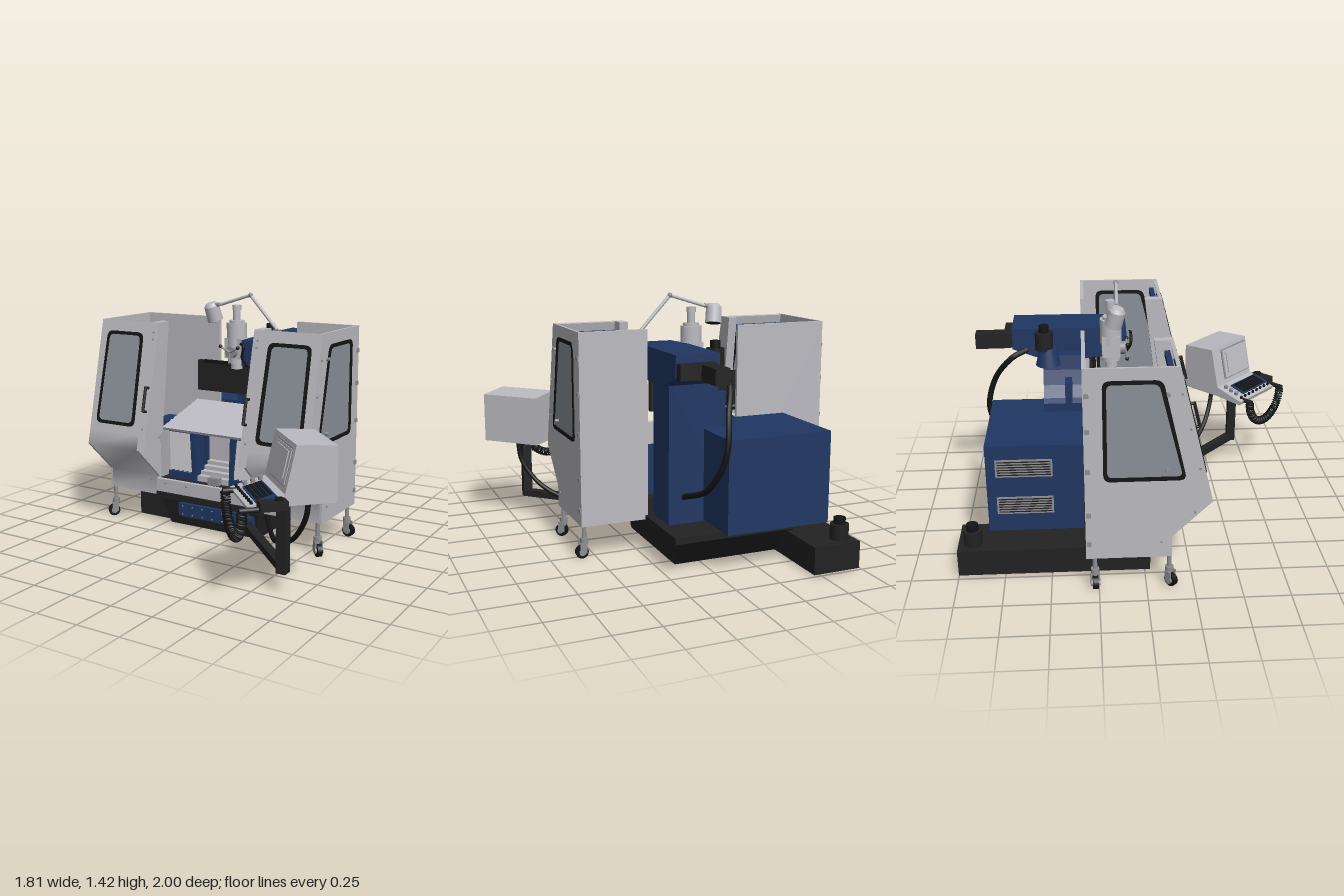
import * as THREE from 'three';
import { toCreasedNormals } from 'three/addons/utils/BufferGeometryUtils.js';

const mat = (name, color) => {
  const m = new THREE.MeshStandardMaterial({ color });
  m.name = name;
  return m;
};
const V = (p) => new THREE.Vector3(...p);

export function createModel() {
  const grey = mat('light grey paint', 0xbabac0), blue = mat('blue paint', 0x203763);
  const black = mat('black', 0x222223), glass = mat('window grey', 0x8a8f98);
  const steel = mat('steel', 0x8f8f93), rubber = mat('dark rubber', 0x141414);
  const root = new THREE.Group();
  root.name = 'millingMachine';
  let target = root;

  // ---- helpers ----
  const add = (name, geo, m, pos = [0, 0, 0], rot = [0, 0, 0]) => {
    const mesh = new THREE.Mesh(geo, m);
    mesh.name = name;
    mesh.position.set(...pos);
    mesh.rotation.set(...rot);
    target.add(mesh);
    return mesh;
  };
  const group = (name, pos, parent, rot = [0, 0, 0]) => {
    target = new THREE.Group();
    target.name = name;
    target.position.set(...pos);
    target.rotation.set(...rot);
    parent.add(target);
    return target;
  };
  const box = (name, m, x0, x1, y0, y1, z0, z1) => add(name,
    new THREE.BoxGeometry(Math.abs(x1 - x0), Math.abs(y1 - y0), Math.abs(z1 - z0)), m,
    [(x0 + x1) / 2, (y0 + y1) / 2, (z0 + z1) / 2]);
  const cyl = (name, m, r0, r1, h, pos, rot, seg = 20) =>
    add(name, new THREE.CylinderGeometry(r0, r1, h, seg), m, pos, rot);
  const tube = (name, m, pts, r, n = 40) => add(name,
    new THREE.TubeGeometry(new THREE.CatmullRomCurve3(pts.map(V)), n, r, 10), m);
  const rod = (name, m, a, b, r) => {
    const d = V(b).sub(V(a));
    const mesh = cyl(name, m, r, r, d.length(), V(a).add(V(b)).multiplyScalar(0.5).toArray(), undefined, 12);
    mesh.quaternion.setFromUnitVectors(new THREE.Vector3(0, 1, 0), d.normalize());
  };
  const poly = (pts) => new THREE.Shape(pts.map((p) => new THREE.Vector2(...p)));
  // polygon with rounded corners
  const rounded = (pts, r) => {
    const s = new THREE.Shape(), v = pts.map((p) => new THREE.Vector2(...p)), n = v.length;
    v.forEach((c, i) => {
      const a = v[(i + n - 1) % n].clone().sub(c).setLength(r).add(c);
      const b = v[(i + 1) % n].clone().sub(c).setLength(r).add(c);
      if (i) s.lineTo(a.x, a.y); else s.moveTo(a.x, a.y);
      s.quadraticCurveTo(c.x, c.y, b.x, b.y);
    });
    s.closePath();
    return s;
  };
  const extrude = (shape, depth) =>
    new THREE.ExtrudeGeometry(shape, { depth, bevelEnabled: false, curveSegments: 6 });
  // (z, y) profile extruded between two x values
  const profile = (name, m, shape, x0, x1) => add(name,
    extrude(shape, Math.abs(x1 - x0)).rotateY(-Math.PI / 2), m, [Math.max(x0, x1), 0, 0]);
  const inset = (pts, k) => {
    const cx = pts.reduce((a, p) => a + p[0], 0) / pts.length;
    const cy = pts.reduce((a, p) => a + p[1], 0) / pts.length;
    return pts.map(([x, y]) => [x - Math.sign(x - cx) * k, y - Math.sign(y - cy) * k]);
  };
  const ring = (pts) => {
    const s = rounded(pts, 0.04);
    s.holes.push(rounded(inset(pts, 0.02), 0.03));
    return s;
  };

  // ---- enclosure, mirrored about the machine centre ----
  const C = -0.147, slope = -Math.atan2(0.177, 0.74);
  for (const s of [-1, 1]) {
    const X = (d) => C + s * d;
    const bay = group(s < 0 ? 'rightEnclosure' : 'leftEnclosure', [0, 0, 0], root);

    // outer side wall with window
    const wall = poly([[-0.315, 0.19], [0.13, 0.19], [0.13, 0.31], [0.337, 0.51], [0.16, 1.25], [-0.315, 1.25]]);
    const sw = [[-0.22, 0.64], [0.2, 0.64], [0.075, 1.185], [-0.22, 1.185]];
    wall.holes.push(rounded(sw, 0.04));
    profile('sideWall', grey, wall, X(0.722), X(0.737));
    profile('sideWindowFrame', rubber, ring(sw), X(0.715), X(0.742));
    profile('sideWindow', glass, rounded(inset(sw, 0.015), 0.03), X(0.726), X(0.735));

    // sloping front door with window
    group('frontDoor', [0, 0.51, 0.337], bay, [slope, 0, 0]);
    const fp = poly([[X(0.373), 0.0926], [X(0.737), 0.0926], [X(0.737), 0.761], [X(0.373), 0.761]]);
    const fw = [[X(0.412), 0.135], [X(0.695), 0.135], [X(0.685), 0.695], [X(0.422), 0.695]];
    fp.holes.push(rounded(fw, 0.04));
    add('doorPanel', extrude(fp, 0.02), grey, [0, 0, -0.02]);
    add('doorWindowFrame', extrude(ring(fw), 0.03), rubber, [0, 0, -0.025]);
    add('doorWindow', extrude(rounded(inset(fw, 0.015), 0.03), 0.009), glass, [0, 0, -0.012]);
    rod('doorHandle', black, [X(0.34), 0.23, 0.03], [X(0.34), 0.38, 0.03], 0.009);
    for (const y of [0.235, 0.375]) rod('handleMount', black, [X(0.34), y, 0], [X(0.34), y, 0.03], 0.008);
    for (const y of [0.13, 0.66, 0.7]) cyl('rivet', steel, 0.006, 0.006, 0.008, [X(0.35), y, 0], [Math.PI / 2, 0, 0], 8);
    target = bay;

    // inner return, folded lower front and back sheets
    profile('doorReturn', grey, poly([[0.337, 0.51], [0.24, 0.53], [0.14, 0.6], [0.06, 1.25], [0.16, 1.25]]), X(0.322), X(0.373));
    const fold = profile('lowerFront', grey, poly([[0.3155, 0.6], [0.337, 0.51], [0.13, 0.31], [0.13, 0.19], [0.115, 0.19], [0.115, 0.32], [0.318, 0.515], [0.297, 0.6]]), X(0.373), X(0.737));
    fold.geometry = toCreasedNormals(fold.geometry, 1.1);
    profile('lowerCheek', grey, poly([[0.337, 0.51], [0.13, 0.31], [0.13, 0.2], [0, 0.2], [0.08, 0.45], [0.16, 0.6], [0.3155, 0.6]]), X(0.36), X(0.373));
    add('cheekGusset', extrude(poly([[X(0.373), 0.21], [X(0.355), 0.3], [X(0.31), 0.61], [X(0.373), 0.61]]), 0.1), grey, [0, 0, 0.01]);
    box('backPanel', grey, X(s < 0 ? 0.19 : 0.35), X(0.737), 0.19, 1.25, -0.315, -0.295);
    box('bayFloor', black, X(0.36), X(0.725), 0.19, 0.21, -0.295, 0.115);
    box('innerRail', blue, X(0.38), X(0.72), 1.17, 1.2, 0.112, 0.14);

    // rivets, hinges and knobs
    for (const y of [0.28, 0.45, 0.7, 0.92, 1.11]) {
      box('hinge', steel, X(0.735), X(0.744), y - 0.012, y + 0.012, -0.31, -0.285);
      const z = y > 0.51 ? 0.337 - (y - 0.51) * 0.239 : 0.1 + (y - 0.28);
      cyl('rivet', steel, 0.006, 0.006, 0.01, [X(0.738), y, z - 0.025], [0, 0, Math.PI / 2], 8);
    }
    for (const y of [0.7, 1.11]) rod('sideKnob', steel, [X(0.73), y, 0.1], [X(0.757), y, 0.1], 0.01);
    for (const d of [0.42, 0.56, 0.7]) cyl('rivet', steel, 0.006, 0.006, 0.008, [X(d), 0.28, 0.13], [Math.PI / 2, 0, 0], 8);

    // swivelled casters
    for (const [z, turn] of [[0.12, 0.8], [-0.27, 1.5]]) {
      group('caster', [X(0.71), 0, z], bay, [0, s * turn, 0]);
      cyl('casterStem', steel, 0.012, 0.012, 0.13, [0, 0.13, 0]);
      cyl('casterCollar', steel, 0.022, 0.022, 0.03, [0, 0.1, 0]);
      for (const x of [-0.02, 0.02]) box('casterFork', steel, x - 0.004, x + 0.004, 0.03, 0.09, -0.012, 0.026);
      cyl('casterWheel', rubber, 0.036, 0.036, 0.028, [0, 0.036, 0.014], [0, 0, Math.PI / 2]);
      cyl('casterHub', steel, 0.018, 0.018, 0.05, [0, 0.036, 0.014], [0, 0, Math.PI / 2]);
    }
    target = bay;

    // vertical pleated guard in a blue frame
    const zig = [[X(0.31), 0.02]];
    for (let i = 0; i <= 10; i++) zig.push([X(0.31 - i * 0.0165), i % 2 ? 0.055 : 0.085]);
    zig.push([X(0.145), 0.02]);
    add('pleatedGuard', extrude(poly(zig.map(([x, z]) => [x, -z])), 0.28).rotateX(-Math.PI / 2), grey, [0, 0.31, 0]);
    box('guardTop', blue, X(0.13), X(0.31), 0.59, 0.605, 0, 0.095);
    add('guardEdge', extrude(poly([[X(0.115), 0.3], [X(0.14), 0.3], [X(0.155), 0.6], [X(0.125), 0.6]]), 0.1), blue);
    box('guardFoot', blue, X(0.12), X(0.315), 0.3, 0.345, 0.02, 0.095);
  }
  target = root;

  // ---- table, covers and tray ----
  box('saddle', blue, -0.71, 0.46, 0.32, 0.6, -0.27, -0.1);
  box('recessWall', grey, -0.28, 0, 0.3, 0.62, -0.1, -0.08);
  for (let i = 0; i < 8; i++)
    add('slidingCover', new THREE.BoxGeometry(0.64, 0.016, 0.052), grey, [C, 0.715 - i * 0.013, -0.21 + i * 0.047], [0.42, 0, 0]);
  box('coverBack', grey, -0.467, 0.173, 0.6, 0.725, -0.24, -0.23);
  for (let i = 0; i < 4; i++) box('lowerPleat', grey, -0.27, -0.02, 0.3, 0.4 - i * 0.022, -0.08 + i * 0.04, -0.04 + i * 0.04);
  box('tableStop', steel, -0.165, -0.095, 0.3, 0.345, 0.08, 0.12);
  box('trayLip', grey, -0.515, 0.222, 0.22, 0.3, 0.125, 0.15);
  box('trayFloor', black, -0.51, 0.217, 0.21, 0.3, -0.29, 0.125);
  for (const x of [-0.45, -0.3, 0, 0.15]) cyl('trayRivet', steel, 0.007, 0.007, 0.008, [x, 0.275, 0.15], [Math.PI / 2, 0, 0], 8);

  // ---- base and coolant tank ----
  box('basePlate', black, -0.52, 0.22, 0.18, 0.215, -0.74, 0.148);
  const base = new THREE.BoxGeometry(1, 0.17, 1), bp = base.attributes.position;
  for (let i = 0; i < bp.count; i++) {
    const top = bp.getY(i) > 0;
    bp.setX(i, bp.getX(i) > 0 ? (top ? 0.18 : 0.155) : (top ? -0.5 : -0.46));
    bp.setZ(i, bp.getZ(i) > 0 ? (top ? 0.12 : 0.08) : (top ? -0.72 : -0.58));
  }
  base.computeVertexNormals();
  add('taperedBase', base, black, [0, 0.095, 0]);
  box('coolantTank', black, -0.73, -0.455, 0.01, 0.16, -1, 0.03);
  box('tankTop', black, -0.7, -0.6, 0.16, 0.185, -0.3, 0);
  cyl('tankFilter', black, 0.05, 0.05, 0.09, [-0.65, 0.2, -0.92]);
  cyl('tankFilterCap', rubber, 0.032, 0.032, 0.035, [-0.65, 0.262, -0.92]);
  box('frontPlate', blue, -0.36, 0.12, 0.085, 0.165, 0.06, 0.144);
  for (let i = 0; i < 7; i++) for (const y of [0.1, 0.15])
    cyl('plateBolt', steel, 0.005, 0.005, 0.006, [-0.33 + i * 0.07, y, 0.145], [Math.PI / 2, 0, 0], 6);

  // ---- column, cabinet and head ----
  add('column', extrude(poly([[-0.22, 0.2], [0.17, 0.2], [0.17, 1.02], [-0.1, 1.02], [-0.115, 0.94], [-0.145, 0.86], [-0.19, 0.8], [-0.22, 0.78]]), 0.215), blue, [0, 0, -0.53]);
  box('cabinet', blue, -0.635, -0.035, 0.225, 0.73, -0.83, -0.32);
  for (const y of [0.38, 0.6]) {
    box('ventPlate', steel, -0.641, -0.634, y - 0.05, y + 0.05, -0.78, -0.48);
    for (let i = 0; i < 6; i++) box('ventSlot', black, -0.643, -0.64, y - 0.04 + i * 0.015, y - 0.034 + i * 0.015, -0.77, -0.49);
  }
  profile('headBeam', blue, poly([[-0.06, 1.0], [-0.06, 1.15], [-0.31, 1.16], [-0.7, 1.16], [-0.7, 1.04], [-0.53, 0.975], [-0.31, 0.975]]), -0.04, 0.205);
  box('headBracket', blue, -0.22, -0.08, 0.73, 0.9, -0.41, -0.37);
  box('motorBlock', black, 0, 0.2, 1.035, 1.118, -0.75, -0.7);
  box('driveMotor', black, 0.005, 0.085, 1.03, 1.115, -0.91, -0.75);
  cyl('coolantNeck', blue, 0.045, 0.07, 0.1, [-0.1, 1.02, -0.5]);
  cyl('coolantCap', black, 0.05, 0.05, 0.1, [-0.1, 1.11, -0.52]);
  cyl('coolantCapTop', rubber, 0.028, 0.028, 0.04, [-0.1, 1.18, -0.52]);
  box('splashGuard', black, -0.465, 0.17, 0.79, 0.98, -0.27, -0.24);
  box('splashRail', rubber, -0.42, 0.3, 0.965, 0.985, -0.255, -0.235);
  tube('powerHose', rubber, [[-0.05, 1.04, -0.62], [-0.09, 1.01, -0.7], [-0.04, 0.86, -0.81], [-0.01, 0.65, -0.85], [0.04, 0.46, -0.75], [0.08, 0.36, -0.52]], 0.016);
  tube('headCable', rubber, [[-0.04, 1.13, -0.05], [-0.01, 1.12, -0.035], [-0.02, 1.05, -0.035], [0.0, 1.0, -0.06]], 0.008, 20);

  // ---- spindle ----
  const sx = -0.125, sz = -0.15;
  const stack = [[0.035, 0.965, 1.0], [0.05, 1.0, 1.1], [0.06, 1.1, 1.24], [0.045, 1.24, 1.255], [0.022, 1.255, 1.315], [0.027, 1.315, 1.345]];
  for (const [r, y0, y1] of stack) cyl('spindleBody', grey, r, r, y1 - y0, [sx, (y0 + y1) / 2, sz], undefined, 24);
  box('spindleMount', grey, -0.18, -0.03, 1.03, 1.15, -0.2, -0.1);
  cyl('spindleDial', steel, 0.035, 0.035, 0.03, [sx, 1.07, -0.085], [Math.PI / 2, 0, 0]);
  for (let i = 0; i < 3; i++) {
    const a = i * 2.094 + 0.5, e = [sx + 0.068 * Math.cos(a), 1.07 + 0.068 * Math.sin(a), -0.06];
    rod('feedLever', steel, [sx, 1.07, -0.07], e, 0.006);
    add('leverKnob', new THREE.SphereGeometry(0.011, 12, 8), rubber, e);
  }

  // ---- work lamp ----
  box('lampBase', steel, 0.15, 0.185, 1.15, 1.22, -0.133, -0.097);
  rod('lampLowerArm', grey, [0.165, 1.22, -0.115], [-0.01, 1.41, -0.115], 0.01);
  rod('lampUpperArm', grey, [-0.01, 1.41, -0.115], [-0.22, 1.345, -0.12], 0.009);
  add('lampJoint', new THREE.SphereGeometry(0.014, 12, 8), steel, [-0.01, 1.41, -0.115]);
  group('lampHead', [-0.275, 1.29, -0.13], root, [0.25, 0, 0.15]);
  cyl('lampShade', grey, 0.045, 0.047, 0.09, [0, 0, 0]);
  cyl('lampCap', grey, 0.03, 0.045, 0.02, [0, 0.055, 0]);
  cyl('lampLens', rubber, 0.04, 0.04, 0.008, [0, -0.043, 0]);
  rod('lampNeck', steel, [0, 0.05, 0], [0.06, 0.05, 0], 0.012);

  // ---- control console on a swing arm ----
  const desk = group('controlConsole', [0.633, 0, 0.633], root, [0, -Math.PI / 4, 0]);
  profile('consoleBody', grey, poly([[-0.205, 0.5], [0.06, 0.5], [0.235, 0.485], [0.245, 0.51], [0.06, 0.56], [0.005, 0.8], [-0.205, 0.785]]), -0.18, 0.18);
  group('monitor', [0.035, 0.685, 0.034], desk, [-Math.atan2(0.055, 0.24), 0, 0]);
  box('screenFrame', steel, -0.13, 0.13, -0.098, 0.098, -0.006, 0.003);
  box('screenBezel', grey, -0.122, 0.122, -0.09, 0.09, -0.004, 0.008);
  box('screen', grey, -0.095, 0.095, -0.062, 0.075, 0, 0.014);
  const keys = group('keyboard', [0.01, 0.537, 0.152], desk, [Math.atan2(0.05, 0.185), 0, 0]);
  box('keyPlate', blue, -0.1, 0.17, 0, 0.008, -0.055, 0.05);
  for (let i = 0; i < 10; i++) for (let j = 0; j < 4; j++)
    box('key', rubber, -0.085 + i * 0.023, -0.068 + i * 0.023, 0.006, 0.014, -0.045 + j * 0.023, -0.028 + j * 0.023);
  for (let i = 0; i < 8; i++) cyl('button', rubber, 0.008, 0.008, 0.014, [-0.15 + i * 0.042, 0.006, 0.07], undefined, 10);
  for (let j = 0; j < 3; j++) cyl('selector', steel, 0.013, 0.013, 0.02, [-0.145, 0.008, -0.06 + j * 0.042], undefined, 12);
  target = desk;
  box('handPendant', black, 0.18, 0.245, 0.5, 0.545, 0.06, 0.2);
  cyl('pendantDial', rubber, 0.022, 0.022, 0.015, [0.213, 0.55, 0.1]);
  // coiled cable hanging in a loop
  const coil = [];
  for (let i = 0; i <= 288; i++) {
    const t = i / 288, a = t * Math.PI, w = t * 36 * Math.PI * 2;
    const r = 0.168 + 0.022 * Math.cos(w);
    coil.push(new THREE.Vector3(0.04 - r * Math.cos(a), 0.5 - r * 1.02 * Math.sin(a), 0.28 + 0.022 * Math.sin(w)));
  }
  add('coiledCable', new THREE.TubeGeometry(new THREE.CatmullRomCurve3(coil), 576, 0.0055, 5), rubber);
  for (const x of [-0.13, 0.21]) rod('cableHanger', black, [x, 0.505, 0.18], [x, 0.505, 0.295], 0.014);
  target = root;
  box('consolePost', black, 0.613, 0.667, 0.105, 0.5, 0.647, 0.7);
  add('swingArm', new THREE.BoxGeometry(0.05, 0.04, 0.78), black, [0.37, 0.125, 0.405], [0, Math.atan2(0.56, 0.54), 0]);
  box('armPivot', blue, 0.05, 0.15, 0.09, 0.155, 0.05, 0.165);
  tube('consoleCable', rubber, [[0.72, 0.5, 0.55], [0.7, 0.37, 0.54], [0.6, 0.22, 0.48], [0.42, 0.125, 0.34], [0.25, 0.13, 0.12], [0.1, 0.17, -0.1]], 0.014);

  return root;
}
